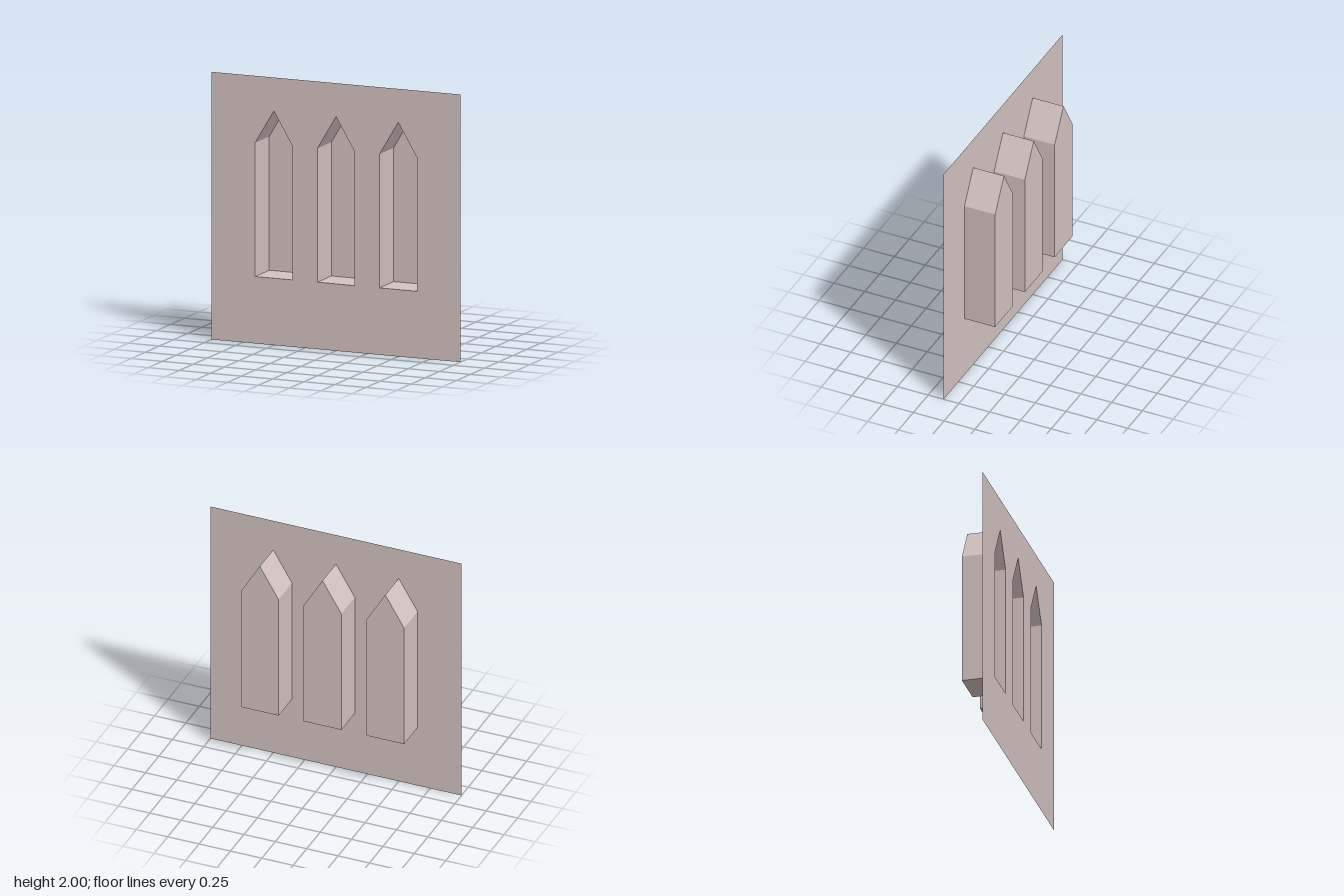
import * as THREE from 'three';

const FRONT = 0.125, BACK = -0.125;

// Outline of a pointed niche, counter-clockwise seen from the front
const nicheOutline = (cx) => [
  [cx - 0.15, 0.5], [cx + 0.15, 0.5], [cx + 0.15, 1.5], [cx, 1.75], [cx - 0.15, 1.5],
].map(([x, y]) => new THREE.Vector2(x, y));

// Open band joining the outline at the front to the same outline at the back
function revealGeometry(points) {
  const pos = [];
  points.forEach((a, i) => {
    const b = points[(i + 1) % points.length];
    pos.push(
      a.x, a.y, FRONT, b.x, b.y, FRONT, b.x, b.y, BACK,
      a.x, a.y, FRONT, b.x, b.y, BACK, a.x, a.y, BACK,
    );
  });
  const geo = new THREE.BufferGeometry();
  geo.setAttribute('position', new THREE.Float32BufferAttribute(pos, 3));
  geo.computeVertexNormals();
  return geo;
}

export function createModel() {
  const model = new THREE.Group();
  model.name = 'nicheWall';
  const material = new THREE.MeshStandardMaterial({
    color: 0xd3c2c1, flatShading: true, side: THREE.DoubleSide,
  });
  const add = (parent, name, geometry, z = 0) => {
    const mesh = new THREE.Mesh(geometry, material);
    mesh.name = name;
    mesh.position.z = z;
    parent.add(mesh);
  };

  // Thin square wall with three pointed openings
  const wall = new THREE.Shape([[-1, 0], [1, 0], [1, 2], [-1, 2]].map(([x, y]) => new THREE.Vector2(x, y)));

  // Recessed niches behind the openings: side reveals and back panel
  [-0.5, 0, 0.5].forEach((cx, i) => {
    const outline = nicheOutline(cx);
    wall.holes.push(new THREE.Path(outline));
    const niche = new THREE.Group();
    niche.name = ['rightNiche', 'middleNiche', 'leftNiche'][i];
    add(niche, 'nicheReveal', revealGeometry(outline));
    add(niche, 'nicheBack', new THREE.ShapeGeometry(new THREE.Shape(outline)), BACK);
    model.add(niche);
  });

  add(model, 'wallPanel', new THREE.ShapeGeometry(wall), FRONT);
  return model;
}
